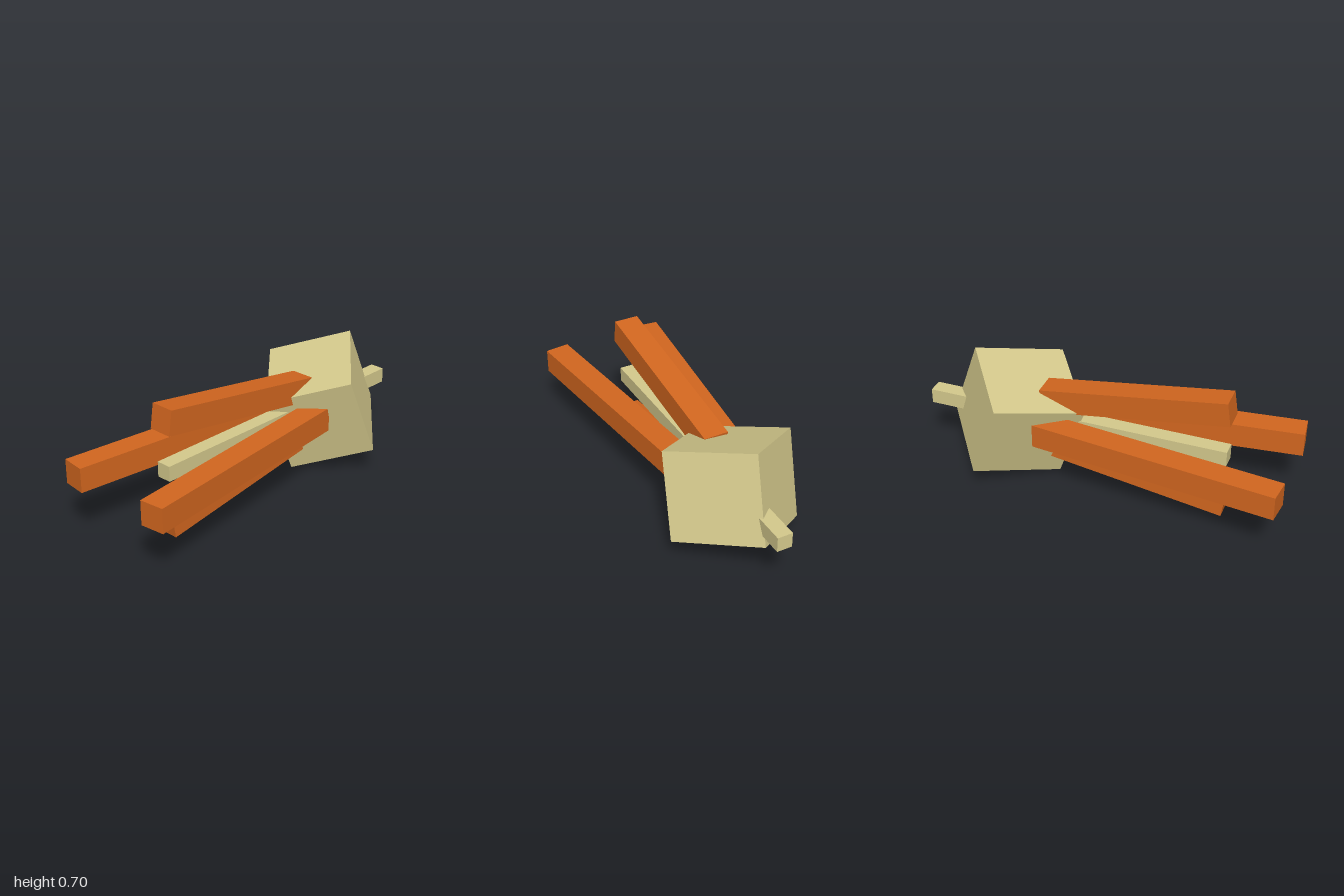
import * as THREE from 'three';

const AXIS_Y = 0.349;

export function createModel() {
  const model = new THREE.Group();
  const orange = new THREE.MeshStandardMaterial({ color: 0xd2661f });
  orange.name = 'orange';
  const sand = new THREE.MeshStandardMaterial({ color: 0xd4c98c });
  sand.name = 'sand';

  // Square rod running through the middle
  const rod = new THREE.Mesh(new THREE.BoxGeometry(0.082, 0.082, 1.66), sand);
  rod.name = 'rod';
  rod.position.set(0, AXIS_Y, -0.17);
  model.add(rod);

  // Tilted block at the back, oriented by two of its edges
  const edgeX = new THREE.Vector3(0.315, -0.11, 0.365).normalize();
  const edgeZ = new THREE.Vector3(-0.04, 0.43, 0.16).cross(edgeX).negate().normalize();
  const edgeY = new THREE.Vector3().crossVectors(edgeZ, edgeX);
  const block = new THREE.Mesh(new THREE.BoxGeometry(0.493, 0.461, 0.461), sand);
  block.name = 'block';
  block.quaternion.setFromRotationMatrix(new THREE.Matrix4().makeBasis(edgeX, edgeY, edgeZ));
  block.position.set(0, 0.35, -0.505);
  model.add(block);

  // Four splayed arms around the rod, converging towards the block
  const addArm = (name, turn, length, tiltDegrees, frontZ) => {
    const geometry = new THREE.BoxGeometry(0.132, 0.132, length);
    geometry.translate(0, 0, -length / 2);
    geometry.rotateX(-THREE.MathUtils.degToRad(tiltDegrees));
    geometry.translate(0, 0.2825, frontZ);
    const arm = new THREE.Mesh(geometry, orange);
    arm.name = name;
    arm.position.y = AXIS_Y;
    arm.rotation.z = turn * Math.PI / 2;
    model.add(arm);
  };
  addArm('topArm', 0, 1.016, 8.5, 0.664);
  addArm('rightArm', 1, 1.331, 6.4, 0.99);
  addArm('bottomArm', 2, 1.016, 8.5, 0.664);
  addArm('leftArm', 3, 1.331, 6.4, 0.99);

  return model;
}
